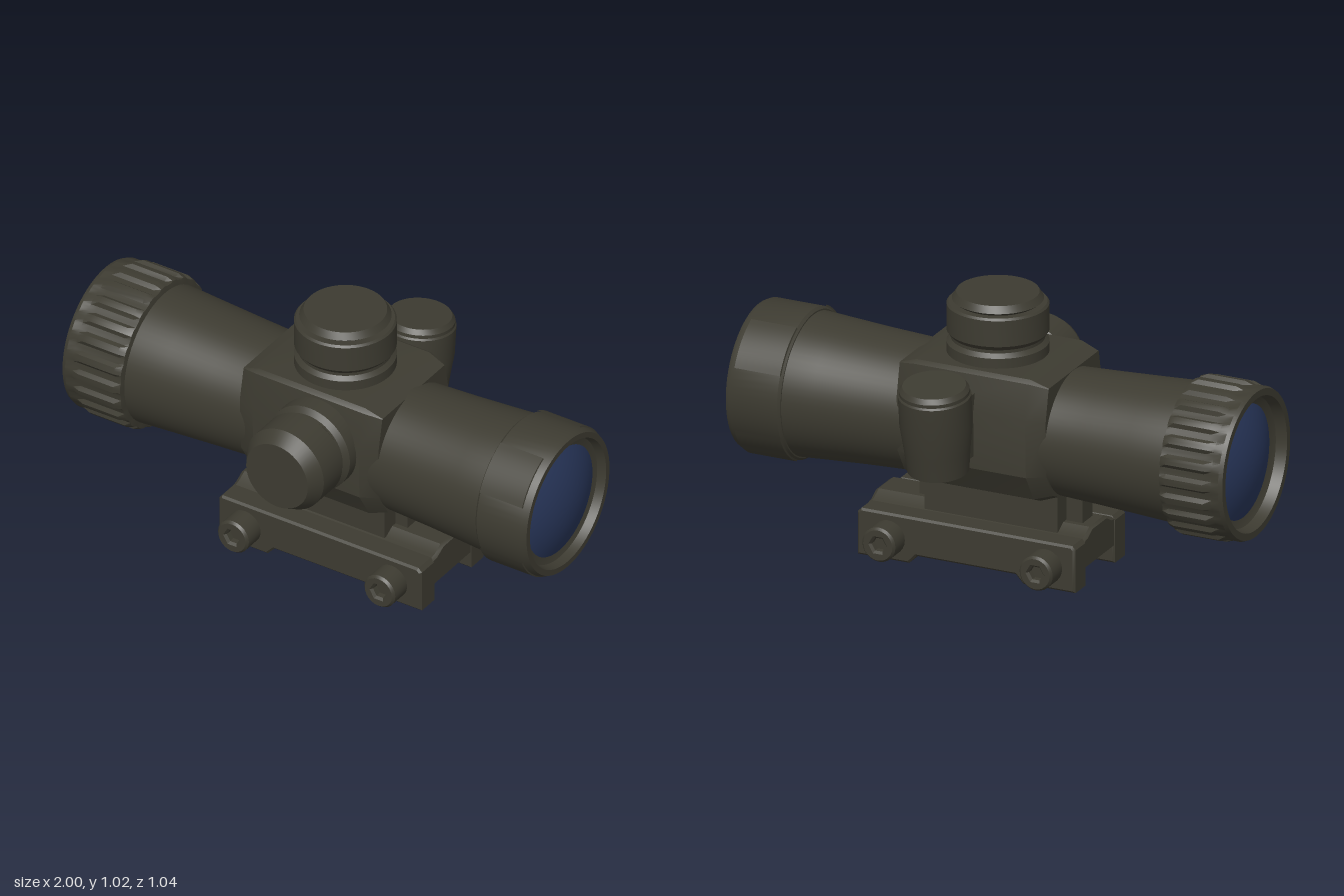
import * as THREE from 'three';
import { toCreasedNormals } from 'three/addons/utils/BufferGeometryUtils.js';

const AXIS_Y = 0.535;

export function createModel() {
  const group = new THREE.Group();
  const metal = new THREE.MeshStandardMaterial({ color: 0x3d3b31 });
  metal.name = 'dark olive metal';
  const glass = new THREE.MeshStandardMaterial({ color: 0x28365a });
  glass.name = 'blue glass';

  function add(name, geo, mat = metal, x = 0, y = 0, z = 0) {
    const mesh = new THREE.Mesh(toCreasedNormals(geo, 0.5), mat);
    mesh.name = name;
    mesh.position.set(x, y, z);
    group.add(mesh);
    return mesh;
  }
  // Profiles list [radius, height], rising from bottom to top
  const lathe = (pts, seg = 48, start = 0, span = Math.PI * 2) =>
    new THREE.LatheGeometry(pts.map(p => new THREE.Vector2(p[0], p[1])), seg, start, span);
  const alongX = geo => geo.rotateZ(-Math.PI / 2);
  const alongZ = geo => geo.rotateX(Math.PI / 2);
  const shape = pts => new THREE.Shape(pts.map(p => new THREE.Vector2(p[0], p[1])));
  const mirrored = half => [...half, ...half.map(p => [-p[0], p[1]]).reverse()];

  // Extrude a (z, y) section from x0 to x1 with bevelled ends
  function extrudeX(pts, x0, x1, size, thick) {
    const geo = new THREE.ExtrudeGeometry(shape(pts), {
      depth: x1 - x0 - 2 * thick, bevelEnabled: true, bevelSegments: 1,
      bevelSize: size, bevelOffset: -size, bevelThickness: thick,
    });
    return geo.translate(0, 0, x0 + thick).rotateY(Math.PI / 2);
  }

  // Flared main tube
  add('tube', alongX(lathe([
    [0, -0.8], [0.262, -0.8], [0.262, -0.75], [0.253, -0.6], [0.243, -0.42], [0.236, -0.27],
    [0.236, 0], [0.242, 0.32], [0.25, 0.5], [0.259, 0.65], [0.267, 0.77], [0.267, 0.8], [0, 0.8],
  ], 64)), metal, 0, AXIS_Y);

  // Objective bell with a recessed rim
  add('objectiveRing', alongX(lathe([
    [0, 0.765], [0.272, 0.765], [0.281, 0.775], [0.281, 0.965], [0.272, 0.983],
    [0.25, 0.983], [0.242, 0.95], [0.212, 0.94], [0, 0.94],
  ], 64)), metal, 0, AXIS_Y);

  // Thin curved plates on the objective bell
  for (const a of [45, 135, 225, 315]) {
    const span = 0.7;
    add('objectivePlate', alongX(lathe([
      [0.279, 0.772], [0.286, 0.774], [0.286, 0.955], [0.279, 0.957],
    ], 10, THREE.MathUtils.degToRad(a) - span / 2, span)), metal, 0, AXIS_Y);
  }

  // Fluted eyepiece ring
  const eyepiece = lathe([
    [0, -0.945], [0.212, -0.945], [0.242, -0.96], [0.252, -1], [0.278, -1], [0.284, -0.985],
    [0.284, -0.955], [0.294, -0.925], [0.294, -0.775], [0.285, -0.75], [0.258, -0.745], [0, -0.745],
  ], 144);
  const p = eyepiece.attributes.position;
  for (let i = 0; i < p.count; i++) {
    const x = p.getX(i), z = p.getZ(i);
    const r = Math.hypot(x, z);
    const groove = Math.cos(Math.atan2(z, x) * 24) < -0.4;
    if (r > 0.283 && p.getY(i) > -0.96 && groove) {
      const k = 0.28 / r;
      p.setX(i, x * k);
      p.setZ(i, z * k);
    }
  }
  add('eyepieceRing', alongX(eyepiece), metal, 0, AXIS_Y);

  // Domed lenses, one at each end
  const dome = [];
  for (let i = 0; i <= 8; i++) {
    const t = i / 8;
    dome.push([0.214 * (1 - t), 0.05 * (1 - (1 - t) ** 2)]);
  }
  add('objectiveLens', alongX(lathe(dome)), glass, 0.948, AXIS_Y);
  add('eyepieceLens', alongX(lathe(dome)).rotateY(Math.PI), glass, -0.948, AXIS_Y);

  // Chamfered central housing
  add('housing', extrudeX(mirrored([
    [0.13, 0.3], [0.185, 0.325], [0.248, 0.43], [0.255, 0.65], [0.228, 0.785], [0.21, 0.797],
  ]), -0.272, 0.322, 0.025, 0.07));

  // Elevation turret on top
  add('topTurret', lathe([
    [0, 0.74], [0.185, 0.74], [0.185, 0.835], [0.17, 0.85], [0.17, 0.862], [0.185, 0.88],
    [0.185, 0.98], [0.178, 0.988], [0.15, 0.988], [0.166, 1.0], [0.15, 1.025], [0, 1.025],
  ]), metal, 0.03);

  // Windage turret on the front
  add('frontTurret', alongZ(lathe([
    [0, 0.2], [0.172, 0.2], [0.172, 0.295], [0.152, 0.312], [0.152, 0.322], [0.165, 0.335],
    [0.165, 0.455], [0.132, 0.51], [0, 0.51],
  ])), metal, 0.07, 0.605);

  // Tilted battery canister on the back, with its neck
  const canister = add('batteryCanister', lathe([
    [0, -0.175], [0.09, -0.175], [0.112, -0.165], [0.12, -0.08], [0.132, 0.02],
    [0.132, 0.135], [0.127, 0.142], [0.127, 0.155], [0.115, 0.173], [0, 0.173],
  ]), metal, 0.09, 0.622, -0.382);
  canister.rotation.x = -0.1;
  add('canisterNeck', new THREE.BoxGeometry(0.17, 0.24, 0.15), metal, 0.09, 0.6, -0.28);

  // Pedestal between the housing and the base
  add('pedestal', new THREE.BoxGeometry(0.53, 0.18, 0.22), metal, 0.005, 0.25, 0);
  for (const x of [-0.295, 0.29]) {
    add('pedestalPost', new THREE.BoxGeometry(0.065, 0.135, 0.08), metal, x, 0.245, 0);
  }

  // Mount deck
  add('mountDeck', extrudeX(mirrored([
    [0.19, 0.06], [0.2, 0.165], [0.1, 0.18], [0.06, 0.203],
  ]), -0.375, 0.488, 0.008, 0.012));

  // Side rails with raised middle underside
  const railShape = shape([
    [-0.378, 0], [-0.17, 0], [-0.14, 0.032], [0.255, 0.032], [0.285, 0],
    [0.49, 0], [0.49, 0.165], [0.475, 0.18], [-0.365, 0.18], [-0.378, 0.165],
  ]);
  for (const s of [1, -1]) {
    const rail = new THREE.ExtrudeGeometry(railShape, {
      depth: 0.08, bevelEnabled: true, bevelSegments: 1,
      bevelSize: 0.008, bevelOffset: -0.008, bevelThickness: 0.008,
    }).translate(0, 0, -0.04);
    add('sideRail', rail, metal, 0, 0, s * 0.162);

    // Clamp bolts with hexagonal sockets
    for (const x of [-0.262, 0.365]) {
      const head = new THREE.Shape().absarc(0, 0, 0.058, 0, Math.PI * 2);
      const socket = [];
      for (let i = 0; i < 6; i++) {
        const a = -i * Math.PI / 3;
        socket.push(new THREE.Vector2(0.038 * Math.cos(a), 0.038 * Math.sin(a)));
      }
      head.holes.push(new THREE.Path(socket));
      const bolt = new THREE.ExtrudeGeometry(head, {
        depth: 0.088, curveSegments: 12, bevelEnabled: true, bevelSegments: 1,
        bevelSize: 0.008, bevelThickness: 0.01,
      });
      if (s < 0) bolt.rotateY(Math.PI);
      add('clampBolt', bolt, metal, x, 0.087, s * 0.199);
      add('boltSocketFloor', alongZ(new THREE.CylinderGeometry(0.04, 0.04, 0.05, 12)),
        metal, x, 0.087, s * 0.24);
    }
  }
  return group;
}
